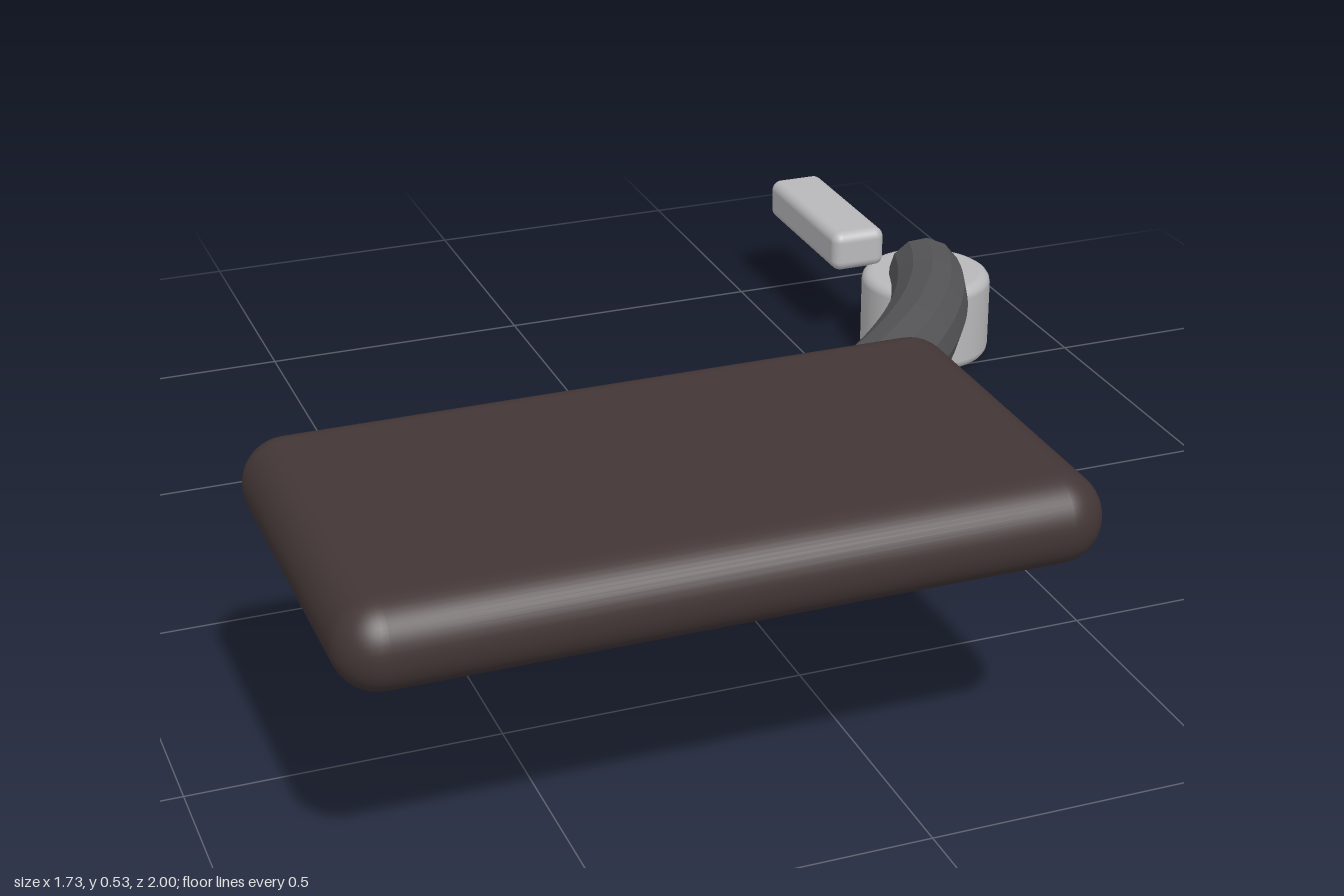
import * as THREE from 'three';
import { RoundedBoxGeometry } from 'three/addons/geometries/RoundedBoxGeometry.js';

export function createModel() {
  const model = new THREE.Group();
  const padding = new THREE.MeshStandardMaterial({ color: 0x433636 });
  padding.name = 'dark brown padding';
  const armMetal = new THREE.MeshStandardMaterial({ color: 0x58585b });
  armMetal.name = 'dark grey arm';
  const lightMetal = new THREE.MeshStandardMaterial({ color: 0xb9b9bb });
  lightMetal.name = 'light grey metal';

  const add = (name, geometry, material, x = 0, y = 0, z = 0) => {
    const mesh = new THREE.Mesh(geometry, material);
    mesh.name = name;
    mesh.position.set(x, y, z);
    model.add(mesh);
  };

  // Rounded pad
  add('pad', new RoundedBoxGeometry(1.14, 0.14, 0.63, 6, 0.069), padding, -0.295, 0.46, 0.685);

  // Faceted, gently curved arm from the pad down to the pivot
  const path = new THREE.QuadraticBezierCurve3(
    new THREE.Vector3(0.165, 0.437, 0.395),
    new THREE.Vector3(0.535, 0.298, -0.1),
    new THREE.Vector3(0.735, 0.157, -0.612)
  );
  const section = new THREE.Shape().absarc(0, 0, 0.072, 0, Math.PI * 2);
  add('arm', new THREE.ExtrudeGeometry(section, { steps: 20, curveSegments: 6, extrudePath: path }), armMetal);

  // Pivot drum with rounded rims
  const R = 0.127, H = 0.17, b = 0.02;
  const profile = [new THREE.Vector2(0, 0), new THREE.Vector2(R - b - 0.001, 0)];
  for (const [cy, start] of [[b, -Math.PI / 2], [H - b, 0]]) {
    for (let i = 0; i <= 4; i++) {
      const a = start + (i / 4) * Math.PI / 2;
      profile.push(new THREE.Vector2(R - b + b * Math.cos(a), cy + b * Math.sin(a)));
    }
  }
  profile.push(new THREE.Vector2(R - b - 0.001, H), new THREE.Vector2(0, H));
  add('pivot', new THREE.LatheGeometry(profile, 40), lightMetal, 0.733, 0, -0.6);

  // Handle behind the pivot
  add('handle', new RoundedBoxGeometry(0.11, 0.08, 0.34, 4, 0.02), lightMetal, 0.616, 0.204, -0.83);

  return model;
}
